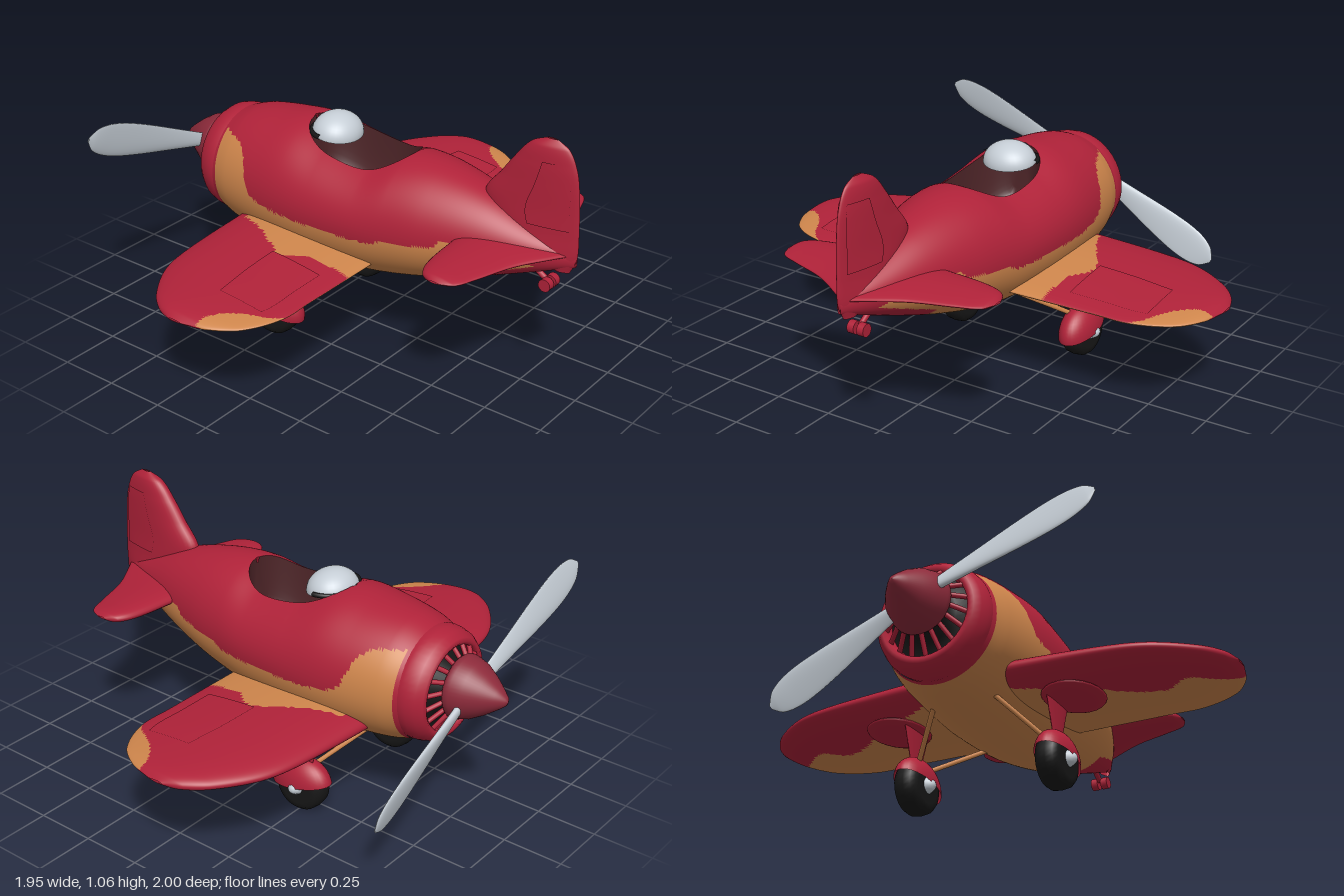
import * as THREE from 'three';
import { ParametricGeometry } from 'three/addons/geometries/ParametricGeometry.js';

const mat = (name, color, side = THREE.FrontSide) =>
  Object.assign(new THREE.MeshStandardMaterial({ color, side }), { name });
const red = mat('red paint', 0xb02239, THREE.DoubleSide);
const orange = mat('orange paint', 0xcf864c);
const plum = mat('spinner red', 0x8c2a3a);
const silver = mat('silver', 0xc6ced6, THREE.DoubleSide);
const black = mat('black', 0x171717);
const brown = mat('cockpit brown', 0x4c2427, THREE.DoubleSide);

// Smooth curve through rows [t, a, b, ...]; returns the interpolated values.
function curve(rows) {
  const slope = (i, k) => {
    const p = rows[Math.max(i - 1, 0)], q = rows[Math.min(i + 1, rows.length - 1)];
    return (q[k] - p[k]) / (q[0] - p[0]);
  };
  return (t) => {
    let i = 0;
    while (i < rows.length - 2 && t > rows[i + 1][0]) i++;
    const p = rows[i], q = rows[i + 1], h = q[0] - p[0];
    const s = Math.min(1, Math.max(0, (t - p[0]) / h)), s2 = s * s, s3 = s2 * s;
    return p.slice(1).map((_, j) => {
      const k = j + 1;
      return (2 * s3 - 3 * s2 + 1) * p[k] + (s3 - 2 * s2 + s) * h * slope(i, k)
        + (3 * s2 - 2 * s3) * q[k] + (s3 - s2) * h * slope(i + 1, k);
    });
  };
}

// Surface from fn(u, v) -> [x, y, z]; paint(x, y, z) picks the material of each face.
function surface(name, fn, nu, nv, materials, paint) {
  const geo = new ParametricGeometry((u, v, p) => p.set(...fn(u, v)), nu, nv);
  if (paint) {
    const pos = geo.attributes.position, idx = geo.index.array;
    const lists = materials.map(() => []);
    for (let i = 0; i < idx.length; i += 3) {
      const f = [idx[i], idx[i + 1], idx[i + 2]];
      const mid = ['getX', 'getY', 'getZ'].map((g) => f.reduce((s, k) => s + pos[g](k), 0) / 3);
      lists[paint(...mid)].push(...f);
    }
    geo.setIndex(lists.flat());
    let start = 0;
    lists.forEach((l, k) => { geo.addGroup(start, l.length, k); start += l.length; });
  }
  const mesh = new THREE.Mesh(geo, materials);
  mesh.name = name;
  return mesh;
}

// Rounded aerofoil: rows are [span, leading x, trailing x, half thickness]; gives [x, span, offset].
function foil(rows) {
  const at = curve(rows), s0 = rows[0][0], s1 = rows[rows.length - 1][0];
  return (u, v, grow = 0) => {
    const span = s0 + (s1 - s0) * Math.sin(u * Math.PI * 0.495);
    const [lead, trail, half] = at(span);
    const a = v * Math.PI * 2, f = (1 - Math.cos(a)) / 2;
    return [lead + (trail - lead) * f, span,
      half * 1.2 * Math.sin(a) * (1 - 0.55 * f) + grow * Math.sign(Math.sin(a))];
  };
}

function part(name, geo, material, x = 0, y = 0, z = 0) {
  const m = new THREE.Mesh(geo, material);
  m.name = name;
  m.position.set(x, y, z);
  return m;
}

// Lathe whose axis points forward (-x); points are [radius, distance forward].
function forwardLathe(name, pts, material, y) {
  const m = part(name, new THREE.LatheGeometry(pts.map((p) => new THREE.Vector2(...p)), 48), material, 0, y);
  m.rotation.z = Math.PI / 2;
  return m;
}

// Rod between two points.
function rod(name, a, b, r, material) {
  const p = new THREE.Vector3(...a), q = new THREE.Vector3(...b), d = q.clone().sub(p);
  const m = part(name, new THREE.CylinderGeometry(r, r, d.length(), 12), material);
  m.position.copy(p).add(q).multiplyScalar(0.5);
  m.quaternion.setFromUnitVectors(new THREE.Vector3(0, 1, 0), d.normalize());
  return m;
}

export function createModel() {
  const plane = new THREE.Group();
  plane.name = 'airplane';

  // Fuselage sections: x, top, bottom, half width, height of the widest point
  const body = curve([
    [-0.64, 0.802, 0.342, 0.23, 0.572], [-0.55, 0.833, 0.318, 0.258, 0.57], [-0.4, 0.855, 0.302, 0.285, 0.57],
    [-0.26, 0.864, 0.295, 0.298, 0.57], [-0.1, 0.83, 0.292, 0.298, 0.57], [0.1, 0.81, 0.302, 0.283, 0.57],
    [0.24, 0.836, 0.325, 0.262, 0.575], [0.4, 0.825, 0.365, 0.23, 0.58], [0.6, 0.775, 0.43, 0.17, 0.59],
    [0.8, 0.69, 0.505, 0.09, 0.6], [0.965, 0.62, 0.57, 0.008, 0.6]]);
  const opening = (x) =>
    0.155 * Math.pow(Math.max(0, 1 - Math.pow(Math.abs((x + 0.015) / 0.245), 2.6)), 1 / 2.2);
  const rimAngle = (x) => Math.asin(opening(x) / body(x)[2]);
  const hull = (x, a) => {
    const [top, bottom, w, mid] = body(x), c = Math.cos(a);
    return [x, mid + c * (c > 0 ? top - mid : mid - bottom), -w * Math.sin(a)];
  };
  const paintLine = curve([[-0.62, 0.76], [-0.5, 0.745], [-0.45, 0.7], [-0.4, 0.59], [-0.33, 0.555], [-0.2, 0.54],
    [0.2, 0.535], [0.26, 0.56], [0.46, 0.58], [0.5, 0.615], [0.7, 0.6], [0.85, 0.55]]);
  plane.add(surface('fuselage', (u, v) => {
    const x = -0.64 + 1.605 * u, a0 = rimAngle(x);
    return hull(x, a0 + (2 * Math.PI - 2 * a0) * v);
  }, 160, 96, [red, orange], (x, y) =>
    (x > -0.62 && x < 0.85 && y < paintLine(x)[0] && !(x > 0.55 && y < 0.47 + (x - 0.57) * 0.35)) ? 1 : 0));

  // Cockpit tub hanging from the rim of the opening
  plane.add(surface('cockpit', (u, v) => {
    const x = -0.015 - 0.2449 * Math.cos(u * Math.PI), k = Math.sin((v - 0.5) * Math.PI);
    const depth = 0.22 * Math.min(1, opening(x) / 0.07);
    return [x, hull(x, rimAngle(x))[1] - depth * (1 - Math.pow(Math.abs(k), 8)), -k * opening(x)];
  }, 40, 32, brown));

  // Windscreen dome with a dark frame
  const dome = part('windscreen', new THREE.SphereGeometry(1, 32, 12, 0, Math.PI * 2, 0, Math.PI / 2), silver, -0.155, 0.82, 0);
  dome.scale.set(0.1, 0.083, 0.112);
  dome.rotation.z = -0.15;
  const frame = part('windscreenFrame', new THREE.TorusGeometry(0.12, 0.01, 8, 32, Math.PI), black, -0.15, 0.835, 0);
  frame.rotation.set(Math.PI / 2, 0, Math.PI / 2);
  frame.scale.y = 0.85;
  plane.add(dome, frame);

  // Cowling, grille and spinner
  plane.add(forwardLathe('cowling', [[0.228, 0.62], [0.232, 0.645], [0.23, 0.67], [0.22, 0.705], [0.2, 0.732],
    [0.185, 0.738], [0.172, 0.73], [0.165, 0.69]], red, 0.575));
  plane.add(forwardLathe('engineShadow', [[0.17, 0.69], [0.11, 0.7], [0.1, 0.76]], black, 0.58));
  for (let i = 0; i < 18; i++) {
    const a = (i / 18) * Math.PI * 2, c = Math.cos(a), s = Math.sin(a);
    plane.add(rod('grilleVane', [-0.765, 0.595 + 0.105 * c, 0.105 * s], [-0.72, 0.577 + 0.175 * c, 0.175 * s], 0.01, red));
  }
  plane.add(forwardLathe('spinner', [[0, 0.757], [0.118, 0.757], [0.128, 0.77], [0.126, 0.79], [0.112, 0.835],
    [0.082, 0.885], [0.045, 0.935], [0.018, 0.967], [0, 0.975]], plum, 0.6));

  // Propeller blades
  for (const [angle, length] of [[1.23, 0.77], [-2.056, 0.68]]) {
    const shape = foil([[0.06, -0.025, 0.025, 0.016], [0.25, -0.045, 0.045, 0.014], [0.5, -0.07, 0.07, 0.012],
      [0.64, -0.072, 0.072, 0.01], [0.73, -0.05, 0.05, 0.008], [0.77, -0.01, 0.01, 0.003]]);
    const blade = surface('propellerBlade', (u, v) => {
      const [x, s, o] = shape(u, v);
      return [x, s * length / 0.77, -o];
    }, 30, 24, silver);
    blade.rotation.y = Math.PI / 2 - 0.2;
    const pivot = new THREE.Group();
    pivot.name = 'propeller';
    pivot.position.set(-0.82, 0.6, 0);
    pivot.rotation.x = angle;
    pivot.add(blade);
    plane.add(pivot);
  }

  // Wings and tailplane, mirrored
  const wing = foil([[0.1, -0.5, 0.18, 0.068], [0.28, -0.49, 0.18, 0.066], [0.6, -0.46, 0.18, 0.055],
    [0.75, -0.42, 0.178, 0.048], [0.9, -0.32, 0.11, 0.038], [0.97, -0.235, 0.01, 0.025], [1, -0.16, -0.1, 0.005]]);
  const tail = foil([[0, 0.52, 0.95, 0.036], [0.06, 0.525, 0.91, 0.036], [0.2, 0.535, 0.825, 0.034],
    [0.37, 0.555, 0.765, 0.028], [0.45, 0.59, 0.73, 0.02], [0.475, 0.64, 0.68, 0.004]]);
  const rootLine = curve([[-0.42, 0.28], [-0.3, 0.33], [-0.2, 0.39], [-0.1, 0.44], [-0.04, 0.41], [0, 0.38], [0.2, 0.365]]);
  const tipLine = curve([[0.7, 0.2], [0.78, 0.15], [0.85, 0.04], [0.93, -0.03], [1, -0.04]]);
  const bellyLine = curve([[0.1, -0.45], [0.3, -0.36], [0.45, -0.3], [0.55, -0.2], [0.7, -0.12], [0.8, -0.18], [0.9, -0.1], [1, 0]]);
  const wingPaint = (x, y, z) => {
    const s = Math.abs(z);
    if (y < 0.419) return x > bellyLine(s)[0] ? 1 : 0;
    return (x > -0.42 && s < rootLine(x)[0]) || (s > 0.7 && x > tipLine(s)[0]) ? 1 : 0;
  };
  for (const side of [1, -1]) {
    const place = (shape, y, grow) => (u, v) => {
      const [x, s, o] = shape(u, side > 0 ? v : 1 - v, grow);
      return [x, y + o, side * s];
    };
    plane.add(surface('wing', place(wing, 0.418), 80, 96, [red, orange], wingPaint));
    const skin = place(wing, 0.418, 0.004);
    plane.add(surface('aileronPanel', (u, v) =>
      skin(0.254 + 0.302 * u, side > 0 ? 0.26 + 0.132 * v : 0.608 + 0.132 * v), 12, 8, red));
    plane.add(surface('tailplane', place(tail, 0.615), 30, 32, red));

    // Landing gear
    const z = side * 0.3;
    const leg = part('legFairing', new THREE.CylinderGeometry(0.1, 0.035, 0.19, 24), red, -0.255, 0.285, side * 0.305);
    leg.scale.z = 0.14;
    const pad = part('legPad', new THREE.SphereGeometry(1, 24, 12), red, -0.26, 0.355, side * 0.38);
    pad.scale.set(0.15, 0.02, 0.12);
    const fender = part('wheelFender',
      new THREE.SphereGeometry(1, 32, 12, 0, Math.PI * 2, 0, Math.PI / 2), red, -0.245, 0.115, z);
    fender.scale.set(0.138, 0.112, 0.075);
    fender.rotation.z = -0.2;
    const tyre = part('tyre', new THREE.LatheGeometry([[0, -0.05], [0.07, -0.05], [0.092, -0.047], [0.106, -0.03],
      [0.11, 0], [0.106, 0.03], [0.092, 0.047], [0.07, 0.05], [0, 0.05]].map((p) => new THREE.Vector2(...p)), 32),
      black, -0.25, 0.11, z);
    tyre.rotation.x = Math.PI / 2;
    const hub = part('wheelHub', new THREE.SphereGeometry(1, 20, 12), silver, -0.25, 0.112, z);
    hub.scale.set(0.04, 0.04, 0.085);
    plane.add(leg, pad, fender, tyre, hub);
    plane.add(rod('frontStrut', [-0.43, 0.345, side * 0.13], [-0.29, 0.2, side * 0.27], 0.01, orange));
    plane.add(rod('rearStrut', [0.01, 0.335, side * 0.13], [-0.19, 0.2, side * 0.27], 0.01, orange));
  }

  // Fin with a rudder panel on each side
  const fin = foil([[0.54, 0.88, 0.94, 0.02], [0.6, 0.75, 0.967, 0.05], [0.7, 0.6, 0.97, 0.056],
    [0.78, 0.56, 0.967, 0.054], [0.88, 0.63, 0.96, 0.048], [0.96, 0.688, 0.945, 0.042],
    [1.03, 0.75, 0.91, 0.03], [1.06, 0.815, 0.86, 0.006]]);
  const finAt = (u, v, grow) => {
    const [x, y, o] = fin(u, v, grow);
    return [x, y, -o];
  };
  plane.add(surface('fin', (u, v) => finAt(u, v), 50, 40, red));
  for (const v0 of [0.25, 0.59])
    plane.add(surface('rudderPanel', (u, v) => finAt(0.225 + 0.415 * u, v0 + 0.16 * v, 0.005), 12, 8, red));

  // Tail wheel
  plane.add(rod('tailWheelStrut', [0.77, 0.53, 0], [0.845, 0.48, 0], 0.012, red));
  for (const z of [-0.022, 0.022]) {
    const w = part('tailWheel', new THREE.CylinderGeometry(0.026, 0.026, 0.03, 16), red, 0.855, 0.472, z);
    w.rotation.x = Math.PI / 2;
    plane.add(w);
  }
  return plane;
}
